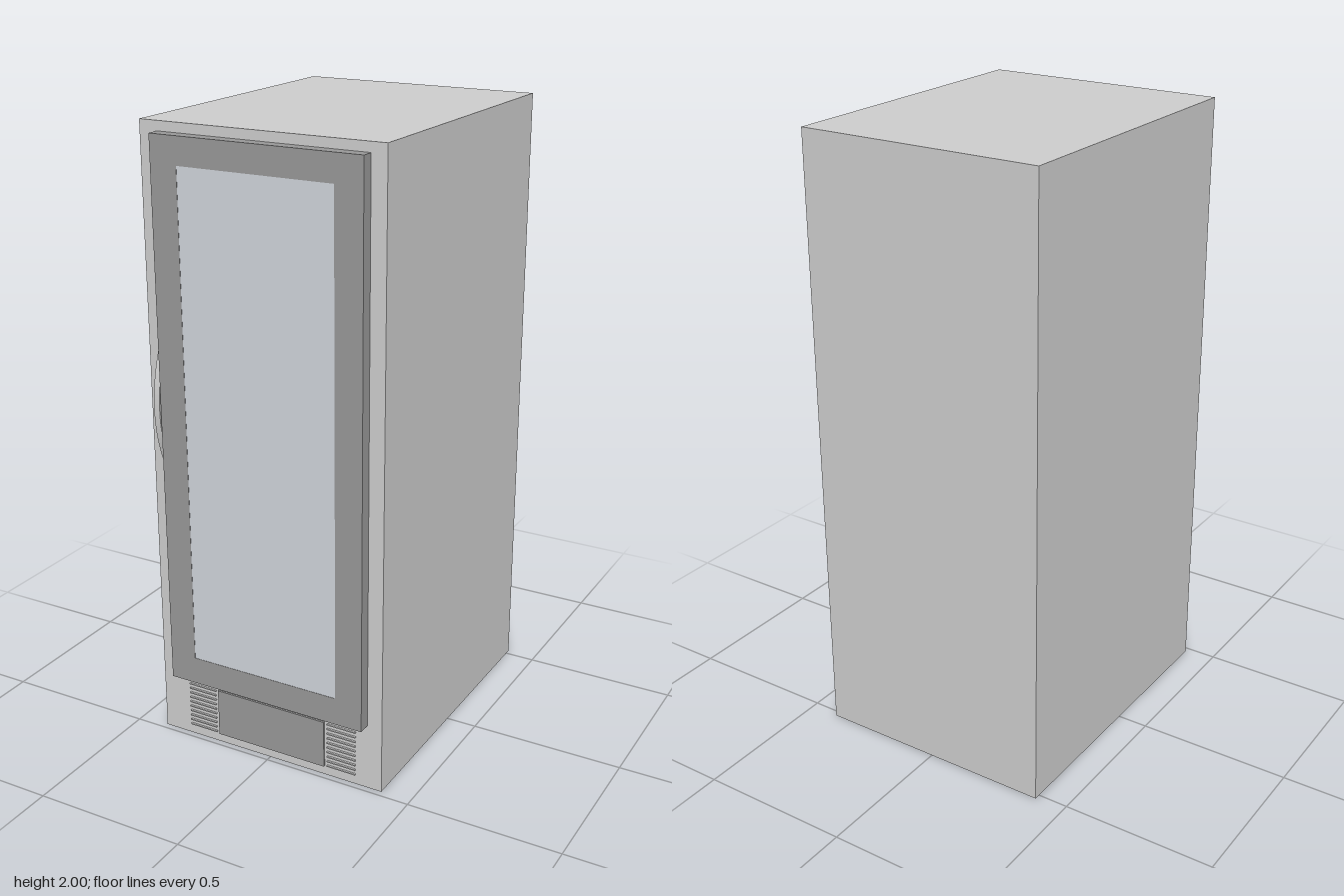
import * as THREE from 'three';

export function createModel() {
  const model = new THREE.Group();
  model.name = 'glassDoorRefrigerator';

  const grey = new THREE.MeshStandardMaterial({ color: 0xcccccc });
  const dark = new THREE.MeshStandardMaterial({ color: 0x979797 });
  const glass = new THREE.MeshStandardMaterial({ color: 0xced3d9 });

  const add = (name, geometry, material, parent = model) => {
    const mesh = new THREE.Mesh(geometry, material);
    mesh.name = name;
    parent.add(mesh);
    return mesh;
  };
  // Box given by its limits on each axis
  const box = (name, [x0, x1], [y0, y1], [z0, z1], material, parent) => {
    const mesh = add(name, new THREE.BoxGeometry(x1 - x0, y1 - y0, z1 - z0), material, parent);
    mesh.position.set((x0 + x1) / 2, (y0 + y1) / 2, (z0 + z1) / 2);
    return mesh;
  };

  const face = 0.48;       // front of the cabinet
  const doorFace = 0.52;   // front of the door

  box('cabinet', [-0.4, 0.4], [0, 2], [-0.52, face], grey);

  // Door: four mitred bars around a nearly flush pane
  const door = new THREE.Group();
  door.name = 'door';
  model.add(door);
  const outer = [[-0.34, 0.22], [0.35, 0.22], [0.35, 1.97], [-0.34, 1.97]];
  const inner = [[-0.25, 0.31], [0.26, 0.31], [0.26, 1.885], [-0.25, 1.885]];
  ['Bottom', 'Left', 'Top', 'Right'].forEach((side, i) => {
    const j = (i + 1) % 4;
    const corners = [outer[i], outer[j], inner[j], inner[i]];
    const shape = new THREE.Shape(corners.map(([x, y]) => new THREE.Vector2(x, y)));
    const bar = new THREE.ExtrudeGeometry(shape, { depth: doorFace - face, bevelEnabled: false });
    add('doorFrame' + side, bar, dark, door).position.z = face;
  });
  box('glassPane', [-0.25, 0.26], [0.31, 1.885], [face, doorFace - 0.001], glass, door);

  // Bowed handle: an arched strip in the z-y plane, extruded across x
  const bow = new THREE.Shape();
  bow.moveTo(face, 0.945);
  bow.quadraticCurveTo(0.56, 1.135, face, 1.325);
  bow.lineTo(face, 1.3);
  bow.quadraticCurveTo(0.538, 1.135, face, 0.97);
  bow.closePath();
  const handle = new THREE.ExtrudeGeometry(bow, { depth: 0.02, bevelEnabled: false, curveSegments: 24 });
  handle.rotateY(-Math.PI / 2);
  add('handle', handle, grey).position.x = -0.345;

  // Lower service panel with a stack of vent slats on each side
  box('lowerPanel', [-0.19, 0.2], [0.03, 0.19], [face, 0.486], dark);
  const slats = 10;
  for (const [name, x0, x1] of [['rightVent', -0.3, -0.2], ['leftVent', 0.21, 0.31]]) {
    const vent = new THREE.Group();
    vent.name = name;
    model.add(vent);
    for (let i = 0; i < slats; i++) {
      const y = 0.033 + (i * 0.15) / (slats - 1);
      box('ventSlat', [x0, x1], [y, y + 0.004], [face, 0.486], grey, vent);
    }
  }

  return model;
}
